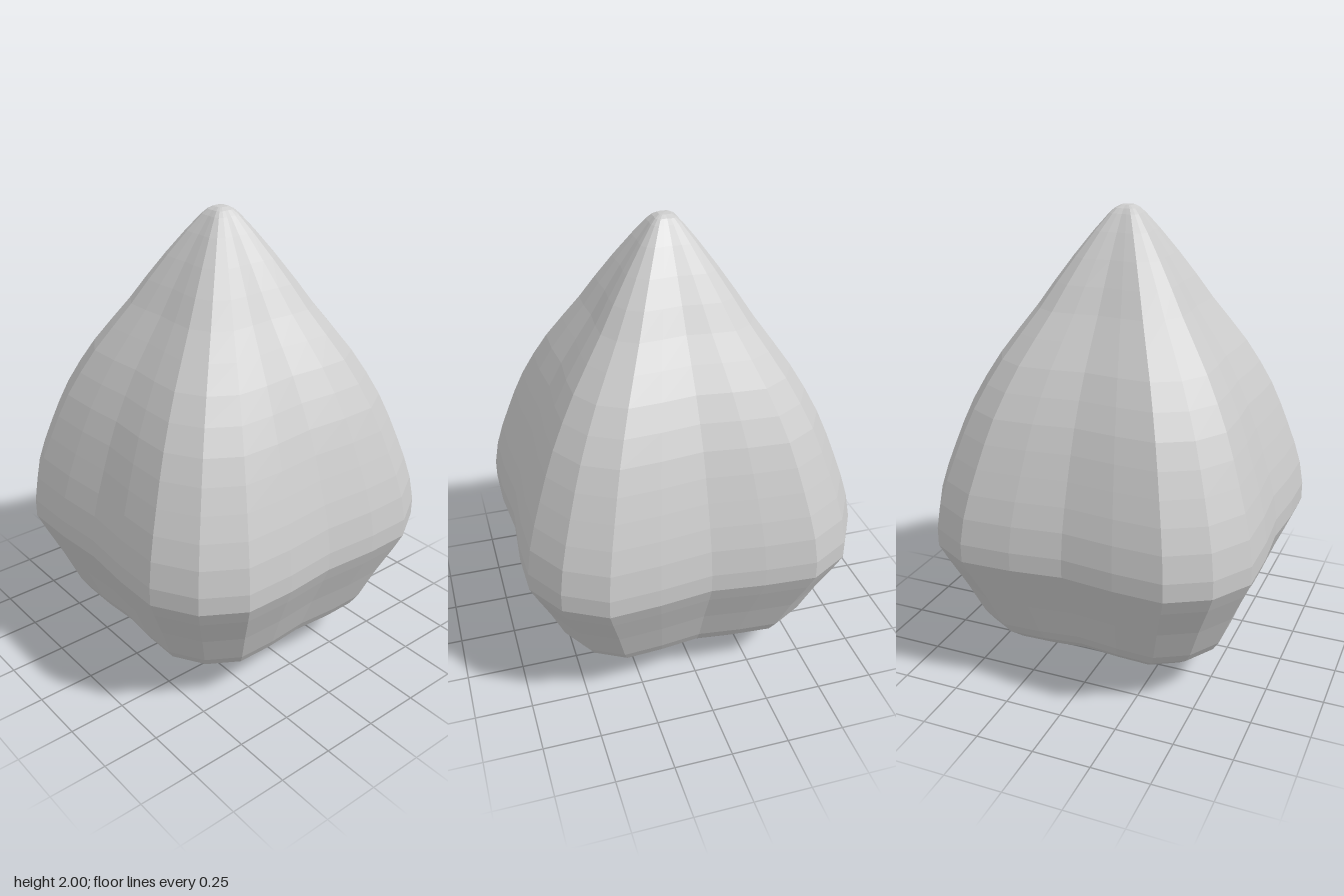
import * as THREE from 'three';

// Widest cross-section as [x, z]: a rounded square with a shallow groove in each side
const SECTION = [
  [0, 0.694], [0.225, 0.71], [0.435, 0.71], [0.61, 0.605], [0.715, 0.435], [0.718, 0.22],
  [0.7, -0.01], [0.717, -0.25], [0.713, -0.45], [0.61, -0.62], [0.435, -0.717], [0.22, -0.703],
  [-0.005, -0.675], [-0.23, -0.703], [-0.45, -0.717], [-0.62, -0.62], [-0.717, -0.45], [-0.71, -0.23],
  [-0.682, -0.01], [-0.708, 0.22], [-0.717, 0.435], [-0.62, 0.605], [-0.45, 0.71], [-0.22, 0.71],
];
const WIDEST = 0.717;

// Half-width and height, from the small recess underneath up to the tip
const PROFILE = [
  [0, 0.015], [0.042, 0.015], [0.046, 0.003], [0.075, 0.003], [0.08, 0], [0.1, 0.005],
  [0.19, 0.028], [0.3, 0.06], [0.4, 0.1], [0.485, 0.155], [0.535, 0.2], [0.565, 0.25],
  [0.625, 0.4], [0.688, 0.54], [0.717, 0.61], [0.717, 0.69], [0.7, 0.8], [0.673, 0.9],
  [0.64, 1], [0.605, 1.1], [0.565, 1.2], [0.515, 1.3], [0.458, 1.4], [0.39, 1.5],
  [0.32, 1.6], [0.257, 1.7], [0.19, 1.8], [0.118, 1.9], [0.065, 1.967], [0.045, 1.987],
  [0.025, 1.998], [0, 2],
];

// Loft the section along the profile
function loft(section, profile) {
  const n = section.length;
  const positions = [];
  const index = [];
  for (const [r, y] of profile) {
    for (const [x, z] of section) positions.push((x * r) / WIDEST, y, (z * r) / WIDEST);
  }
  for (let j = 0; j < profile.length - 1; j++) {
    for (let i = 0; i < n; i++) {
      const a = j * n + i, b = j * n + ((i + 1) % n);
      if (profile[j][0] > 0) index.push(a, b, b + n);
      if (profile[j + 1][0] > 0) index.push(a, b + n, a + n);
    }
  }
  const geometry = new THREE.BufferGeometry();
  geometry.setAttribute('position', new THREE.Float32BufferAttribute(positions, 3));
  geometry.setIndex(index);
  const flat = geometry.toNonIndexed();
  flat.computeVertexNormals();
  return flat;
}

export function createModel() {
  const model = new THREE.Group();
  model.name = 'bulb';
  const body = new THREE.Mesh(
    loft(SECTION, PROFILE),
    new THREE.MeshStandardMaterial({ color: 0xcccccc, flatShading: true })
  );
  body.name = 'bulbBody';
  model.add(body);
  return model;
}
